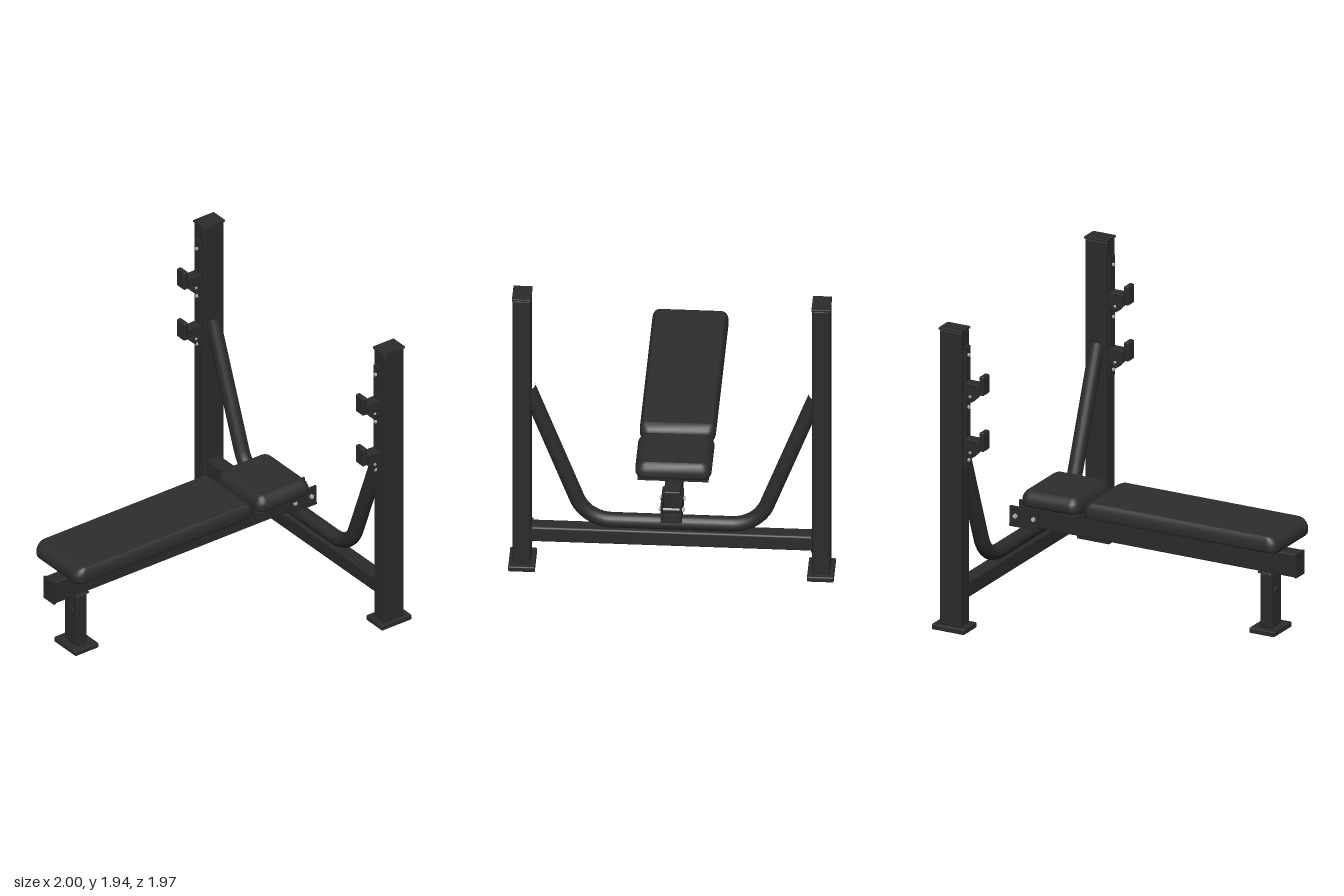
import * as THREE from 'three';
import { RoundedBoxGeometry } from 'three/addons/geometries/RoundedBoxGeometry.js';

const mat = (name, color) => {
  const m = new THREE.MeshStandardMaterial({ color });
  m.name = name;
  return m;
};

export function createModel() {
  const model = new THREE.Group();
  model.name = 'benchPressRack';
  const frame = mat('black frame', 0x2b2b2b);
  const vinyl = mat('black vinyl', 0x2d2d2d);
  const steel = mat('bright steel', 0xb4b4b4);

  const add = (name, geo, material, parent = model) => {
    const mesh = new THREE.Mesh(geo, material);
    mesh.name = name;
    parent.add(mesh);
    return mesh;
  };
  // Box given by its extents on each axis, with an optional edge radius
  const box = (name, [x0, x1], [y0, y1], [z0, z1], r = 0, parent = model, material = frame) => {
    const s = [x1 - x0, y1 - y0, z1 - z0];
    const geo = r ? new RoundedBoxGeometry(...s, 2, r) : new THREE.BoxGeometry(...s);
    const mesh = add(name, geo, material, parent);
    mesh.position.set((x0 + x1) / 2, (y0 + y1) / 2, (z0 + z1) / 2);
    return mesh;
  };
  // Cylinder lying along x or z
  const rod = (name, axis, r, length, pos, material, sides = 12, parent = model) => {
    const geo = new THREE.CylinderGeometry(r, r, length, sides);
    if (axis === 'x') geo.rotateZ(Math.PI / 2); else geo.rotateX(Math.PI / 2);
    add(name, geo, material, parent).position.set(...pos);
  };

  // Cushion: stacked rounded rectangles that shrink towards the top
  const cushion = (name, x0, x1, halfZ, insetX, insetZ) => {
    const layers = [[0.5, 0.5, 0.58], [0.1, 0.2, 0.584], [0, 0, 0.6], [0, 0, 0.63],
      [0.22, 0.22, 0.652], [0.55, 0.55, 0.67], [1, 1, 0.68]];
    const cx = (x0 + x1) / 2, steps = 6, pos = [], idx = [];
    const ring = ([fx, fz, y]) => {
      const hx = (x1 - x0) / 2 - fx * insetX, hz = halfZ - fz * insetZ;
      const r = 0.06 - 0.04 * Math.max(fx, fz);
      for (let q = 0; q < 4; q++) for (let k = 0; k <= steps; k++) {
        const a = (q + k / steps) * Math.PI / 2;
        const sx = q === 0 || q === 3 ? 1 : -1, sz = q < 2 ? 1 : -1;
        pos.push(cx + sx * (hx - r) + r * Math.cos(a), y, sz * (hz - r) + r * Math.sin(a));
      }
    };
    const n = 4 * (steps + 1);
    layers.forEach(ring);
    for (let i = 0; i < layers.length - 1; i++) for (let j = 0; j < n; j++) {
      const a = i * n + j, b = i * n + (j + 1) % n;
      idx.push(a, a + n, b, b, a + n, b + n);
    }
    // Flat underside and top with their own rings so the edges stay crisp
    for (const layer of [layers[0], layers[layers.length - 1]]) {
      const start = pos.length / 3, top = layer !== layers[0];
      ring(layer);
      pos.push(cx, layer[2], 0);
      for (let j = 0; j < n; j++) {
        const a = start + j, b = start + (j + 1) % n;
        idx.push(start + n, ...(top ? [b, a] : [a, b]));
      }
    }
    const geo = new THREE.BufferGeometry();
    geo.setAttribute('position', new THREE.Float32BufferAttribute(pos, 3));
    geo.setIndex(idx);
    geo.computeVertexNormals();
    add(name, geo, vinyl);
  };

  // Bench pads, backing boards and mounting plates
  cushion('backPad', -0.95, 0.39, 0.23, 0.055, 0.022);
  cushion('headPad', 0.42, 0.815, 0.23, 0.04, 0.045);
  for (const [x0, x1, m0, m1] of [[-0.92, 0.365, -0.65, 0.095], [0.425, 0.8, 0.49, 0.75]]) {
    box('padBoard', [x0, x1], [0.563, 0.576], [-0.215, 0.215]);
    box('padSpacer', [x0 + 0.04, x1 - 0.04], [0.575, 0.583], [-0.18, 0.18]);
    box('padMount', [m0, m1], [0.534, 0.564], [-0.115, 0.115]);
  }

  // Bench spine and front leg
  box('benchBeam', [-0.995, 0.88], [0.385, 0.535], [-0.05, 0.05], 0.008);
  box('beamEndCap', [-1, -0.985], [0.384, 0.536], [-0.052, 0.052]);
  box('frontLeg', [-0.835, -0.755], [0.03, 0.39], [-0.065, 0.065], 0.015);
  box('legTopPlate', [-0.86, -0.74], [0.377, 0.387], [-0.06, 0.06]);
  box('frontFoot', [-0.88, -0.705], [0, 0.035], [-0.11, 0.11], 0.008);
  rod('legDisc', 'x', 0.035, 0.008, [-0.838, 0.26, 0], frame, 24);

  // Bracket joining the bench to the rack, with two through bolts
  for (const s of [-1, 1]) {
    const z = s * 0.058;
    box('bracketSide', [0.775, 0.97], [0.38, 0.505], [z - 0.006, z + 0.006]);
  }
  box('bracketBase', [0.775, 0.975], [0.374, 0.386], [-0.064, 0.064]);
  for (const x of [0.805, 0.93]) {
    rod('bracketBolt', 'z', 0.007, 0.16, [x, 0.445, 0], steel);
    for (const s of [-1, 1]) rod('bracketNut', 'z', 0.015, 0.012, [x, 0.445, s * 0.07], steel, 6);
  }

  // Rear cross beam and the bent tube resting on it
  box('crossBeam', [0.835, 0.932], [0.178, 0.28], [-0.86, 0.86], 0.012);
  const v = (y, z) => new THREE.Vector3(0.883, y, z);
  const path = new THREE.CurvePath();
  path.add(new THREE.LineCurve3(v(1.264, -0.87), v(0.475, -0.575)));
  path.add(new THREE.CubicBezierCurve3(v(0.475, -0.575), v(0.384, -0.541), v(0.325, -0.457), v(0.325, -0.36)));
  path.add(new THREE.LineCurve3(v(0.325, -0.36), v(0.325, 0.36)));
  path.add(new THREE.CubicBezierCurve3(v(0.325, 0.36), v(0.325, 0.457), v(0.384, 0.541), v(0.475, 0.575)));
  path.add(new THREE.LineCurve3(v(0.475, 0.575), v(1.264, 0.87)));
  add('bentTube', new THREE.TubeGeometry(path, 120, 0.047, 20), frame);

  // Uprights with feet, caps, hook rails and two bar hooks each
  for (const s of [-1, 1]) {
    const side = new THREE.Group();
    side.name = s > 0 ? 'leftUpright' : 'rightUpright';
    model.add(side);
    const span = (c, h) => [s * c - h, s * c + h];
    box('post', [0.81, 0.96], [0.03, 1.93], span(0.905, 0.054), 0.012, side);
    box('postCap', [0.806, 0.964], [1.927, 1.942], span(0.905, 0.058), 0.004, side);
    box('foot', [0.775, 1], [0, 0.036], span(0.903, 0.081), 0.008, side);
    box('beamFlange', [0.83, 0.937], [0.172, 0.286], span(0.848, 0.006), 0, side);
    box('hookRail', [0.793, 0.812], [1.06, 1.83], span(0.9, 0.027), 0, side);
    for (const y of [1.1, 1.44, 1.775]) rod('railScrew', 'x', 0.011, 0.012, [0.788, y, s * 0.9], steel, 10, side);
    for (const y of [1.182, 1.542]) {
      const hook = new THREE.Group();
      hook.name = 'barHook';
      side.add(hook);
      box('hookShelf', [0.668, 0.8], [y, y + 0.064], span(0.9, 0.033), 0.004, hook);
      box('hookLip', [0.665, 0.697], [y, y + 0.122], span(0.9, 0.038), 0.008, hook);
      const brace = box('hookBrace', [0.731, 0.795], [y - 0.047, y + 0.003], span(0.9, 0.027), 0, hook);
      brace.rotation.z = Math.PI / 4;
      for (const e of [-1, 1]) rod('hookBolt', 'z', 0.009, 0.006, [0.763, y - 0.022, s * 0.9 + e * 0.028], steel, 10, hook);
    }
  }
  return model;
}
